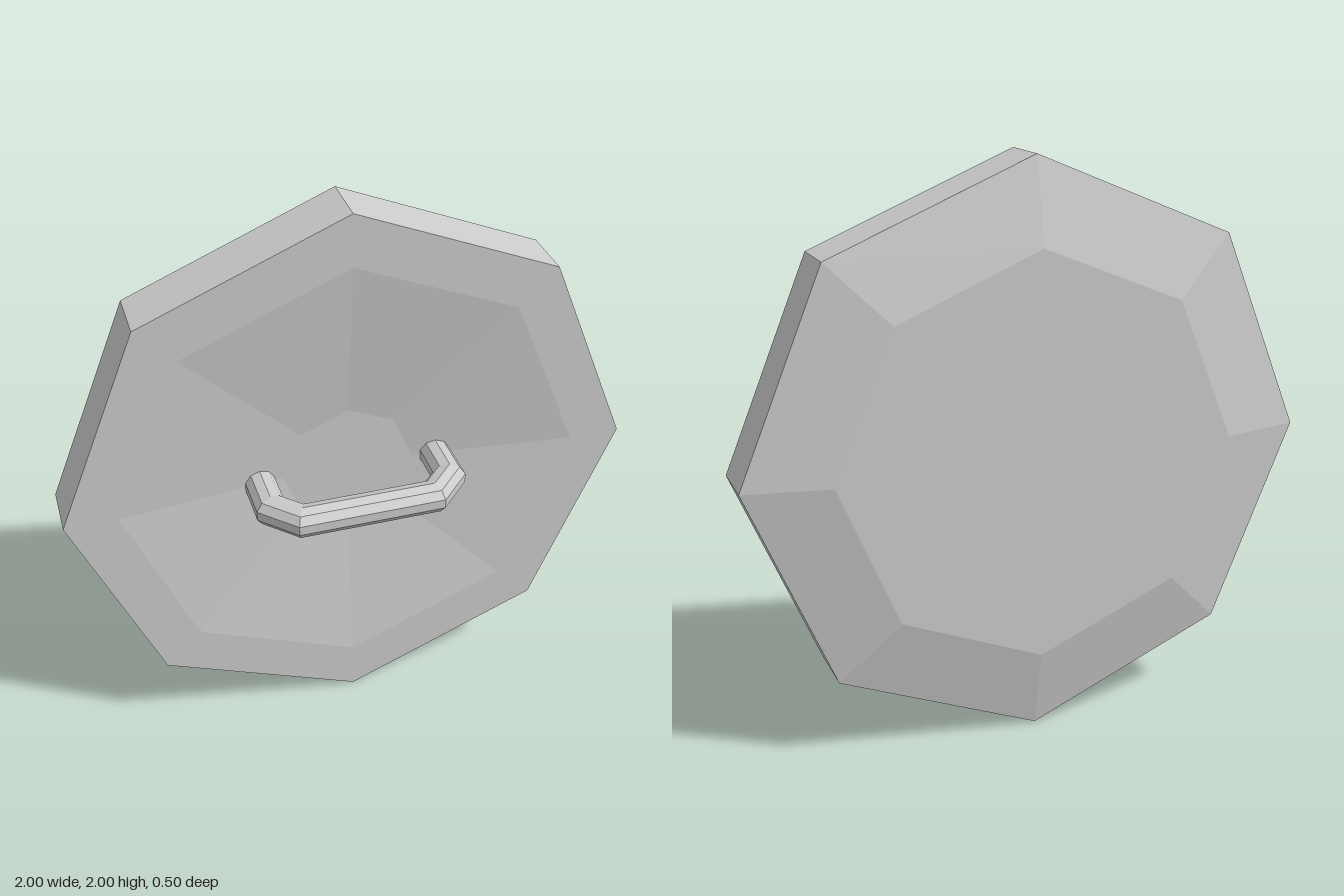
import * as THREE from 'three';

const material = new THREE.MeshStandardMaterial({ color: 0xcccccc, flatShading: true });

// Eight-sided disc: bevelled back, straight rim, dished front
function makeDisc() {
  const profile = [
    [0, -0.25], [0.71, -0.25], [1, -0.19], [1, 0.01],
    [0.815, 0.01], [0.235, -0.055], [0, -0.055],
  ].map(([r, z]) => new THREE.Vector2(r, z));
  const disc = new THREE.Mesh(new THREE.LatheGeometry(profile, 8).rotateX(Math.PI / 2), material);
  disc.name = 'shieldDisc';
  return disc;
}

// Faceted bar swept along an x-z path, with mitred corners
function makeBar(path, radius, sides) {
  const pts = path.map(([x, z]) => new THREE.Vector2(x, z));
  const positions = [];
  const indices = [];
  pts.forEach((p, i) => {
    const before = p.clone().sub(pts[Math.max(i - 1, 0)]).normalize();
    const after = pts[Math.min(i + 1, pts.length - 1)].clone().sub(p).normalize();
    const t = before.clone().add(after).normalize();
    const mitre = radius / t.dot(i ? before : after);
    for (let j = 0; j < sides; j++) {
      const a = (j / sides) * Math.PI * 2 + Math.PI / 2;
      const out = Math.cos(a) * mitre;
      positions.push(p.x + t.y * out, Math.sin(a) * radius, p.y - t.x * out);
      if (i === pts.length - 1) continue;
      const k = (j + 1) % sides;
      const [q, r] = [i * sides + j, i * sides + k];
      indices.push(q, r, q + sides, r, r + sides, q + sides);
    }
  });
  const geometry = new THREE.BufferGeometry();
  geometry.setAttribute('position', new THREE.Float32BufferAttribute(positions, 3));
  geometry.setIndex(indices);
  geometry.computeVertexNormals();
  return geometry;
}

export function createModel() {
  const model = new THREE.Group();
  model.name = 'shield';
  const disc = makeDisc();

  // Grip handle, its ends sunk into the dish
  const half = [[0.318, -0.06], [0.318, 0.105], [0.233, 0.193]];
  const path = [...half, ...half.map(([x, z]) => [-x, z]).reverse()];
  const handle = new THREE.Mesh(makeBar(path, 0.055, 10), material);
  handle.name = 'gripHandle';

  disc.position.y = handle.position.y = 1;
  model.add(disc, handle);
  return model;
}
